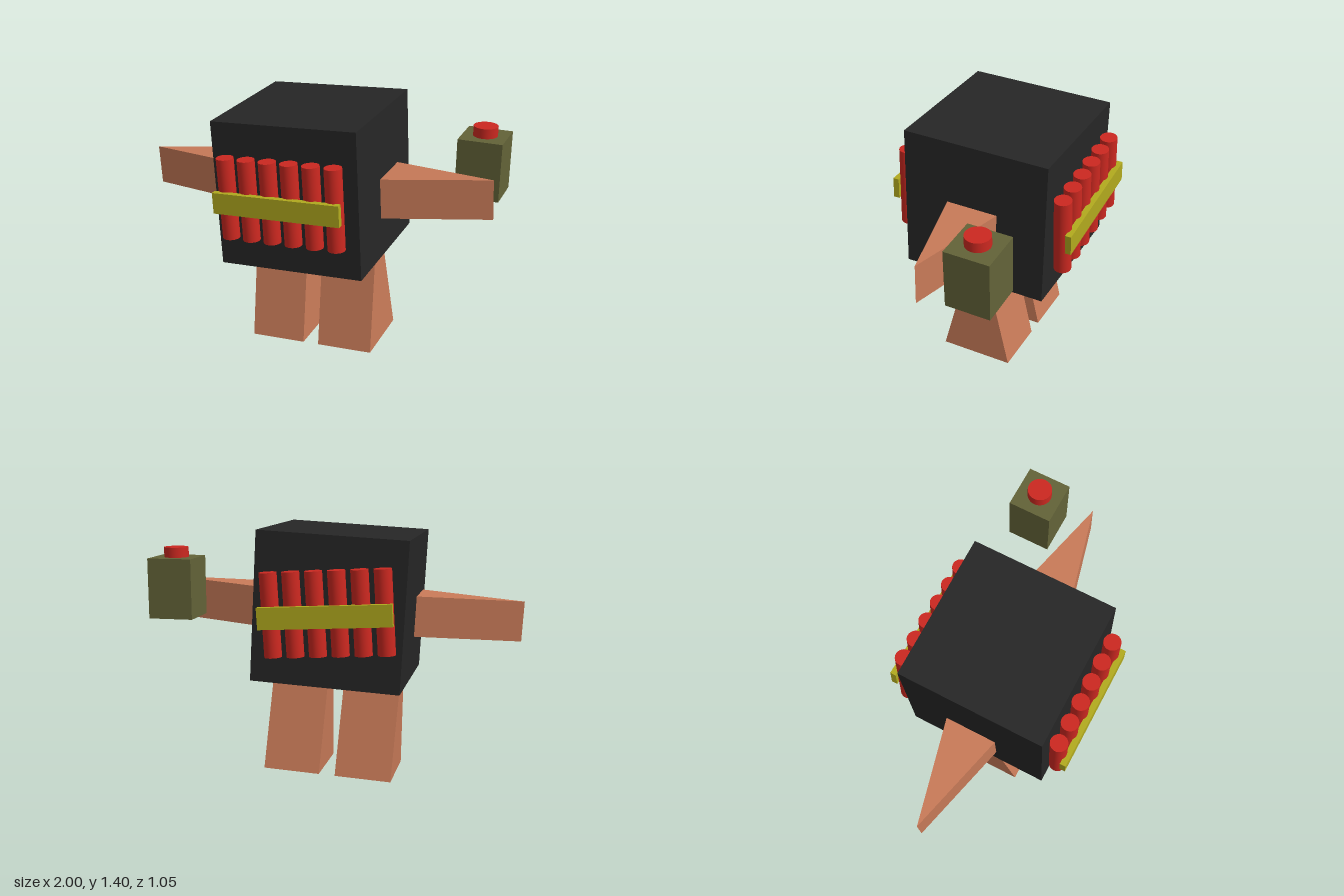
import * as THREE from 'three';

const TILT = 0.0555; // whole figure leans slightly about z
const paint = (color) => new THREE.MeshStandardMaterial({ color, flatShading: true });
const round = (color) => new THREE.MeshStandardMaterial({ color });

function add(parent, name, geometry, material, x, y, z) {
  const mesh = new THREE.Mesh(geometry, material);
  mesh.name = name;
  mesh.position.set(x, y, z);
  parent.add(mesh);
  return mesh;
}

// Triangular prism: base on y = 0 (base deep in z), edge at y = length, width along x
function wedge(base, length, width) {
  const shape = new THREE.Shape([
    new THREE.Vector2(-base / 2, 0),
    new THREE.Vector2(base / 2, 0),
    new THREE.Vector2(0, length),
  ]);
  const geometry = new THREE.ExtrudeGeometry(shape, { depth: width, bevelEnabled: false });
  return geometry.translate(0, 0, -width / 2).rotateY(Math.PI / 2);
}

export function createModel() {
  const model = new THREE.Group();
  const black = paint(0x262626);
  const skin = paint(0xc87a58);
  const red = round(0xcc2820);
  const yellow = paint(0xb2aa1e);
  const olive = paint(0x636338);

  // Leaning figure: cube body, wedge arms and legs
  const figure = new THREE.Group();
  figure.name = 'figure';
  figure.position.set(-0.005, 0.974, 0.005);
  figure.rotation.z = TILT;
  model.add(figure);

  add(figure, 'body', new THREE.BoxGeometry(0.81, 0.807, 0.81), black, 0, 0, 0);
  for (const [side, label] of [[1, 'left'], [-1, 'right']]) {
    add(figure, label + 'Leg', wedge(0.403, 0.81, 0.315), skin, side * 0.203, -0.952, 0);
    const arm = wedge(0.285, 0.569, 0.22).rotateZ(-side * Math.PI / 2);
    add(figure, label + 'Arm', arm, skin, side * 0.428, side > 0 ? -0.044 : -0.025, 0);
  }

  // Strapped rows of sticks on the chest and, turned round, on the back
  for (const [name, z, turn] of [['chest', 0.458, 0], ['back', -0.452, Math.PI]]) {
    const bundle = new THREE.Group();
    bundle.name = name + 'Bundle';
    bundle.position.set(-0.013, 0.978, z);
    bundle.rotation.set(0, turn, TILT);
    for (let i = 0; i < 6; i++) {
      add(bundle, 'stick', new THREE.CylinderGeometry(0.047, 0.047, 0.447, 32), red, (i - 2.5) * 0.121, 0, 0);
    }
    add(bundle, 'strap', new THREE.BoxGeometry(0.71, 0.116, 0.033), yellow, -0.004, -0.01, 0.053);
    model.add(bundle);
  }

  // Upright detonator box with a push button
  const detonator = new THREE.Group();
  detonator.name = 'detonator';
  detonator.position.set(0.864, 0, -0.27);
  add(detonator, 'detonatorBox', new THREE.BoxGeometry(0.242, 0.325, 0.242), olive, 0, 1.073, 0);
  add(detonator, 'button', new THREE.CylinderGeometry(0.066, 0.066, 0.1, 32), red, 0, 1.24, 0);
  model.add(detonator);

  return model;
}
